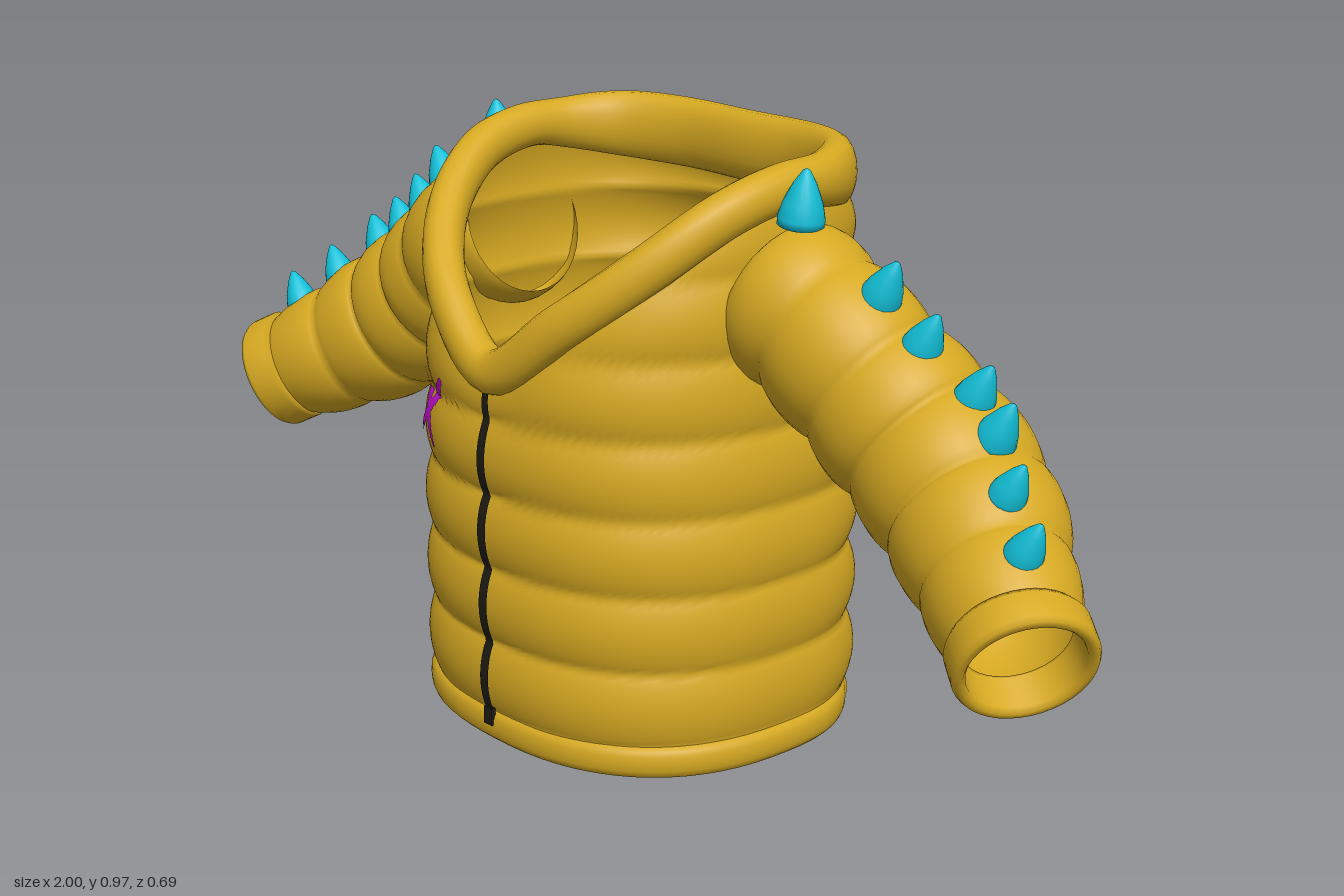
import * as THREE from 'three';

const mat = (name, color, side = THREE.FrontSide) => {
  const m = new THREE.MeshStandardMaterial({ color, side });
  m.name = name;
  return m;
};
const V = (x, y, z) => new THREE.Vector3(x, y, z);
const { lerp, smoothstep } = THREE.MathUtils;

// Surface from a rule f(u, v); wrapU / wrapV close it without a seam
function grid(nu, nv, f, wrapU = false, wrapV = false) {
  const cu = wrapU ? nu : nu + 1, cv = wrapV ? nv : nv + 1;
  const pos = [], idx = [];
  for (let i = 0; i < cu; i++)
    for (let j = 0; j < cv; j++) pos.push(...f(i / nu, j / nv).toArray());
  for (let i = 0; i < nu; i++)
    for (let j = 0; j < nv; j++) {
      const a = i * cv + j, b = ((i + 1) % cu) * cv + j;
      const k = (j + 1) % cv, c = ((i + 1) % cu) * cv + k, d = i * cv + k;
      idx.push(a, b, c, a, c, d);
    }
  const g = new THREE.BufferGeometry();
  g.setAttribute('position', new THREE.Float32BufferAttribute(pos, 3));
  g.setIndex(idx);
  g.computeVertexNormals();
  return g;
}

// Neckline: low at the front, high at the sides and back
const half = [[0, 0.625, 0.315], [0.14, 0.72, 0.292], [0.245, 0.815, 0.215], [0.302, 0.893, 0.11],
  [0.317, 0.925, 0], [0.305, 0.922, -0.1], [0.25, 0.917, -0.18], [0.14, 0.912, -0.225], [0, 0.91, -0.23]];
const neck = new THREE.CatmullRomCurve3(
  [...half, ...half.slice(1, -1).reverse().map(([x, y, z]) => [-x, y, z])].map((p) => V(...p)),
  true, 'catmullrom', 0.5);

// Rounded oval cross-section of the trunk; angle 0 is the front, PI the back
const EXP = 2.4;
const pw = (v) => Math.sign(v) * Math.abs(v) ** (2 / EXP);
const oval = (a, w, f, b) => [w * pw(Math.sin(a)), (Math.cos(a) > 0 ? f : b) * pw(Math.cos(a))];
const puff = (t) => Math.abs(Math.sin(Math.PI * t)) ** 0.7;
const halfWidth = (y) => 0.344 - 0.012 * smoothstep(y, 0.3, 0.65);

const Y0 = 0.03;
function bodyPoint(a, y) {
  const u = (((a / (2 * Math.PI)) % 1) + 1) % 1;
  const n = neck.getPoint(u);
  const p = puff((y - 0.05) / 0.125);
  const [x, z] = oval(a, halfWidth(y) + 0.012 * p, 0.324 + 0.015 * p,
    0.284 + 0.032 * smoothstep(y, 0.3, 0.6) + 0.027 * p);
  const k = Math.min(1, Math.max(0, (y - Y0) / (n.y - Y0))) ** 10;
  return V(lerp(x, n.x, k), y, lerp(z, n.z, k));
}

// Point lying just off the trunk surface at a given x and y
function onBody(x, y, back, lift) {
  const a = Math.asin(Math.sign(x) * Math.min(1, Math.abs(x) / (halfWidth(y) + 0.006)) ** (EXP / 2));
  const p = bodyPoint(back ? Math.PI - a : a, y);
  p.z += back ? -lift : lift;
  return p;
}

// Painted stroke that hugs the cloth, wide in the middle and ragged at the rims
function stroke([x0, y0], [x1, y1], w0, w1, back) {
  const d = new THREE.Vector2(x1 - x0, y1 - y0).normalize();
  return grid(48, 6, (u, v) => {
    const ragged = 1 + 0.14 * Math.sin(u * 61) + 0.1 * Math.sin(u * 113 + v * 5);
    const w = lerp(w0, w1, u) * (0.45 + 0.55 * Math.sin(Math.PI * u)) * ragged * (v - 0.5);
    return onBody(lerp(x0, x1, u) - d.y * w, lerp(y0, y1, u) + d.x * w, back, 0.005);
  });
}

export function createModel() {
  const model = new THREE.Group();
  model.name = 'jacket';
  const cloth = mat('mustard cloth', 0xd6a922, THREE.DoubleSide);
  const paint = mat('magenta paint', 0xc412d2, THREE.DoubleSide);
  const zip = mat('dark zip', 0x1e1b14, THREE.DoubleSide);
  const cyan = mat('cyan spike', 0x12c0d8);
  const add = (name, geometry, material, parent = model) => {
    const m = new THREE.Mesh(geometry, material);
    m.name = name;
    parent.add(m);
    return m;
  };

  // Quilted trunk
  add('body', grid(112, 112, (u, v) => {
    const a = u * 2 * Math.PI;
    return bodyPoint(a, lerp(Y0, neck.getPoint(u).y, v));
  }, true), cloth);

  // Hem band
  add('hem', grid(96, 16, (u, v) => {
    const r = v * 2 * Math.PI, c = 0.017 * pw(Math.cos(r));
    const [x, z] = oval(u * 2 * Math.PI, 0.343 + c, 0.318 + c, 0.268 + c);
    return V(x, 0.027 + 0.027 * pw(Math.sin(r)), z);
  }, true, true), cloth);

  // Padded collar, taller at the back
  add('collar', grid(112, 18, (u, v) => {
    const p = neck.getPoint(u), t = neck.getTangent(u);
    const side = V(t.z, 0, -t.x).normalize();
    const up = t.clone().cross(side).normalize();
    const back = smoothstep(-p.z, 0.02, 0.22), r = v * 2 * Math.PI;
    return p.addScaledVector(side, 0.034 * pw(Math.cos(r)))
      .addScaledVector(up, (0.037 + 0.022 * back) * Math.sin(r));
  }, true, true), cloth);

  // Front zip
  add('zip', grid(80, 2, (u, v) => onBody((v - 0.5) * 0.02, lerp(0.05, 0.625, u), false, 0.005), ), zip);
  add('zipFoot', new THREE.BoxGeometry(0.02, 0.03, 0.008), zip).position.set(0, 0.045, 0.334);

  // Painted crosses on the chest and back
  add('chestCrossA', stroke([-0.225, 0.465], [-0.125, 0.585], 0.018, 0.022, false), paint);
  add('chestCrossB', stroke([-0.215, 0.58], [-0.145, 0.465], 0.028, 0.014, false), paint);
  add('backCrossA', stroke([0.13, 0.67], [-0.14, 0.2], 0.08, 0.035, true), paint);
  add('backCrossB', stroke([-0.21, 0.61], [0.2, 0.29], 0.075, 0.06, true), paint);

  // Spike: rounded cone
  const spikeGeo = new THREE.LatheGeometry(
    [[0, 0], [0.036, 0], [0.037, 0.012], [0.031, 0.036], [0.018, 0.066], [0.006, 0.086], [0, 0.09]]
      .map((p) => new THREE.Vector2(...p)), 20);
  const spikes = [[0.365, 0.88, 0.008], [0.525, 0.79, 0.003], [0.6, 0.725, -0.005], [0.69, 0.665, -0.022],
    [0.745, 0.625, -0.008], [0.815, 0.57, 0.042], [0.885, 0.513, 0.085]];

  // Sleeve path with a radius at each point
  const arm = [[0.315, 0.76, 0, 0.125], [0.4, 0.728, 0, 0.127], [0.5, 0.655, -0.012, 0.13],
    [0.59, 0.585, -0.026, 0.135], [0.7, 0.508, -0.012, 0.134], [0.8, 0.445, 0.04, 0.118],
    [0.9, 0.392, 0.1, 0.096]];
  const radii = new THREE.SplineCurve(arm.map((p, i) => new THREE.Vector2(i, p[3])));

  // Cuff: hollow rounded band
  const cuffGeo = new THREE.LatheGeometry(
    [[0.08, 0], [0.1, -0.004], [0.106, 0.006], [0.106, 0.05], [0.102, 0.058], [0.092, 0.06],
      [0.086, 0.052], [0.084, 0], [0.08, 0]].map((p) => new THREE.Vector2(...p)), 40);

  for (const s of [1, -1]) {
    const sleeve = new THREE.Group();
    sleeve.name = s > 0 ? 'leftSleeve' : 'rightSleeve';
    model.add(sleeve);

    const path = new THREE.CatmullRomCurve3(arm.map(([x, y, z]) => V(s * x, y, z)));
    add('quiltedSleeve', grid(84, 36, (u, v) => {
      const p = path.getPoint(u), t = path.getTangent(u);
      const side = V(0, 0, 1).addScaledVector(t, -t.z).normalize();
      const up = t.clone().cross(side);
      const r = radii.getPoint(u).y - 0.004 + 0.013 * puff(u * 6), a = v * 2 * Math.PI;
      return p.addScaledVector(side, r * 0.95 * Math.cos(a)).addScaledVector(up, r * Math.sin(a));
    }, false, true), cloth, sleeve);

    const end = path.getPoint(1);
    const dir = V(s * 0.77, -0.45, 0.47).normalize();
    const cuff = add('cuff', cuffGeo, cloth, sleeve);
    cuff.position.copy(end).addScaledVector(dir, -0.012);
    cuff.quaternion.setFromUnitVectors(V(0, 1, 0), dir);

    spikes.forEach(([x, y, z], i) => {
      const spike = add('spike' + (i + 1), spikeGeo, cyan, sleeve);
      const lean = V(s * (i ? 0.48 : 0.12), 0.88, 0).normalize();
      spike.position.set(s * x, y, z).addScaledVector(lean, -0.004);
      spike.quaternion.setFromUnitVectors(V(0, 1, 0), lean);
      if (i) spike.scale.set(0.9, 0.88, 0.9);
      if (i > 4) spike.scale.set(0.8, 0.78, 0.8);
    });
  }
  return model;
}
